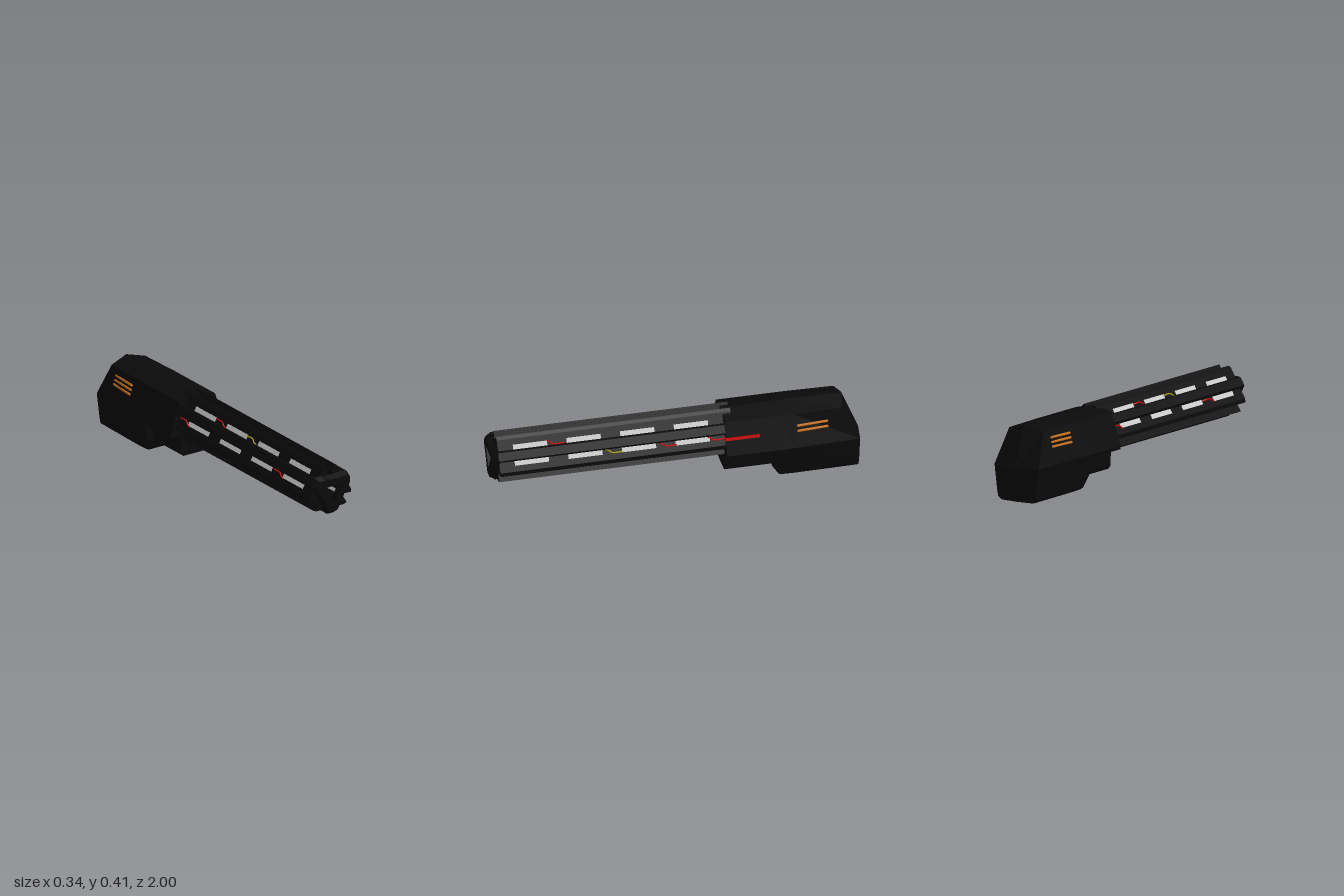
import * as THREE from 'three';

const mat = (color) => new THREE.MeshStandardMaterial({ color, flatShading: true });
const BLACK = mat(0x0a0a0a), LIGHT = mat(0xdddddd), RED = mat(0xcc0808), YELLOW = mat(0xaaa010), ORANGE = mat(0xc8701a);

function add(parent, name, geo, material, x = 0, y = 0, z = 0) {
  const m = new THREE.Mesh(geo, material);
  m.name = name;
  m.position.set(x, y, z);
  parent.add(m);
  return m;
}

// Faceted solid from rings of [x, y, z] corners running front to back, capped with fans.
function loft(rings, frontTip, backTip) {
  const pos = [];
  const tri = (a, b, c) => pos.push(...a, ...b, ...c);
  const n = rings[0].length;
  const last = rings[rings.length - 1];
  for (let j = 0; j < n; j++) {
    const k = (j + 1) % n;
    for (let i = 0; i < rings.length - 1; i++) {
      const a = rings[i], b = rings[i + 1];
      tri(a[j], a[k], b[k]);
      tri(a[j], b[k], b[j]);
    }
    tri(frontTip, rings[0][k], rings[0][j]);
    tri(backTip, last[j], last[k]);
  }
  const g = new THREE.BufferGeometry();
  g.setAttribute('position', new THREE.Float32BufferAttribute(pos, 3));
  g.computeVertexNormals();
  return g;
}

// Full ring from a right half: first and last corners lie on the centre line.
function ring(half, z) {
  const right = half.map(([x, y, dz = 0]) => [x, y, z + dz]);
  const left = right.slice(1, -1).reverse().map(([x, y, w]) => [-x, y, w]);
  return [...right, ...left];
}

const poly = (pts) => new THREE.Shape(pts.map(([x, y]) => new THREE.Vector2(x, y)));
const extrude = (pts, z0, z1) => {
  const g = new THREE.ExtrudeGeometry(poly(pts), { depth: z1 - z0, bevelEnabled: false });
  return g.translate(0, 0, z0);
};
// Closed outline mirrored across the panel's own centre line (n outward, t sideways).
const mirrorT = (pts) => [...pts.map(([n, t]) => [n, -t]), ...pts.slice().reverse()];

const AXIS_Y = 0.272, SEGMENTS = [0.79, 0.5, 0.21, -0.08];

// One of the three barrel panels; local x points outward, local y across it.
function panel(name, angle) {
  const g = new THREE.Group();
  g.name = name;
  g.rotation.z = angle;
  g.position.y = AXIS_Y;
  const section = mirrorT([[0.056, 0.05], [0.06, 0.085], [0.096, 0.107], [0.104, 0.088], [0.104, 0.02]]);
  add(g, 'barrelPanel', extrude(section, -0.3, 0.965), BLACK);
  add(g, 'outerRail', extrude(mirrorT([[0.11, 0.03], [0.122, 0.03], [0.132, 0.022]]), -0.3, 0.97), BLACK);
  for (const z of SEGMENTS) {
    for (const t of [-0.043, 0.043]) add(g, 'outerLight', new THREE.BoxGeometry(0.004, 0.026, 0.185), LIGHT, 0.105, t, z);
    add(g, 'innerLight', new THREE.BoxGeometry(0.007, 0.024, 0.185), LIGHT, 0.054, 0, z);
  }
  return g;
}

// Short kinked wire lying on a panel between two lights.
function wire(parent, material, t, z) {
  const path = new THREE.CatmullRomCurve3([
    [0.1, t + 0.016, z + 0.055], [0.109, t + 0.008, z + 0.035], [0.109, t - 0.006, z + 0.015],
    [0.109, t - 0.006, z - 0.03], [0.1, t - 0.006, z - 0.05],
  ].map((p) => new THREE.Vector3(...p)));
  add(parent, 'wire', new THREE.TubeGeometry(path, 14, 0.004, 6), material);
}

// Three-lobed muzzle frame with a triangular opening, tapering towards the front.
function muzzle() {
  const lobes = (scale) => {
    const pts = [];
    for (let i = 0; i < 3; i++) {
      const a = -Math.PI / 2 + i * 2 * Math.PI / 3;
      for (const [n, t] of [[0.07, -0.06], [0.1, -0.048], [0.132, -0.026], [0.132, 0.026], [0.1, 0.048], [0.07, 0.06]]) {
        pts.push([scale * (n * Math.cos(a) - t * Math.sin(a)), scale * (n * Math.sin(a) + t * Math.cos(a))]);
      }
    }
    return pts;
  };
  const shape = poly(lobes(1));
  const hole = [];
  for (let i = 0; i < 3; i++) {
    const a = -Math.PI / 2 + i * 2 * Math.PI / 3;
    hole.push(new THREE.Vector2(0.066 * Math.cos(a), 0.066 * Math.sin(a)));
  }
  shape.holes.push(new THREE.Path(hole));
  const g = new THREE.ExtrudeGeometry(shape, { depth: 0.035, bevelEnabled: false });
  const p = g.attributes.position;
  for (let i = 0; i < p.count; i++) {
    const r = Math.hypot(p.getX(i), p.getY(i));
    if (p.getZ(i) > 0.01 && r > 0.07) {
      p.setX(i, p.getX(i) * 0.83);
      p.setY(i, p.getY(i) * 0.83);
    }
  }
  g.computeVertexNormals();
  return g;
}

export function createModel() {
  const model = new THREE.Group();

  // Barrel: three panels around an open core
  const deg = Math.PI / 180;
  const left = panel('leftPanel', 30 * deg);
  const right = panel('rightPanel', 150 * deg);
  const lower = panel('lowerPanel', -90 * deg);
  model.add(left, right, lower);
  add(model, 'muzzleFrame', muzzle(), BLACK, 0, AXIS_Y, 0.965);

  // Wires between the lights
  wire(left, RED, 0.04, 0.65);
  wire(left, YELLOW, -0.045, 0.34);
  wire(left, RED, -0.045, 0.05);
  wire(left, RED, -0.045, -0.21);
  wire(right, YELLOW, -0.043, 0.34);
  wire(right, RED, -0.043, 0.06);
  wire(right, RED, 0.043, 0.65);
  wire(right, RED, 0.043, -0.21);
  wire(lower, RED, 0.043, 0.65);
  wire(lower, YELLOW, 0.043, 0.34);
  wire(lower, RED, 0.043, 0.06);

  // Front shell of the body, with a narrower block beneath it
  const shell = [[0, 0.403], [0.113, 0.378], [0.172, 0.2], [0.168, 0.182], [0, 0.182]];
  add(model, 'frontShell', loft([ring(shell, -0.255), ring(shell, -0.53)], [0, 0.28, -0.255], [0, 0.28, -0.53]), BLACK);
  const block = [[0, 0.2], [0.11, 0.2], [0.105, 0.085], [0.09, 0.068], [0, 0.068]];
  add(model, 'lowerBlock', loft([ring(block, -0.255), ring(block, -0.56)], [0, 0.13, -0.255], [0, 0.13, -0.56]), BLACK);
  add(model, 'lowerBlockRib', new THREE.BoxGeometry(0.09, 0.09, 0.02), BLACK, 0, 0.118, -0.262);

  // Rear body: chamfered at the front, tapering to a faceted back
  const rear = [
    ring([[0, 0.403], [0.113, 0.378], [0.172, 0.2], [0.147, 0.095], [0.142, 0.08], [0.12, 0.07], [0, 0.07]], -0.51),
    ring([[0, 0.404], [0.113, 0.378], [0.172, 0.2], [0.136, 0.05], [0.13, 0.02], [0.11, 0.008], [0, 0.008]], -0.548),
    ring([[0, 0.404], [0.113, 0.378], [0.17, 0.2], [0.136, 0.05], [0.13, 0.018], [0.11, 0.006], [0, 0.006]], -0.62),
    ring([[0, 0.404, -0.02], [0.108, 0.376], [0.141, 0.19, -0.09], [0.125, 0.05, -0.088],
      [0.12, 0.016, -0.085], [0.1, 0.001, -0.08], [0, 0, -0.085]], -0.89),
  ];
  add(model, 'rearBody', loft(rear, [0, 0.22, -0.51], [0, 0.18, -1]), BLACK);

  // Red bar on the left side
  const bar = add(model, 'redBar', new THREE.BoxGeometry(0.034, 0.013, 0.185), RED, 0.138, 0.29, -0.342);
  bar.rotation.z = 0.26;

  // Orange side bars: two on the left, three on the right
  const sideBar = (x, y, z) => {
    const g = new THREE.CapsuleGeometry(0.007, 0.16, 3, 8).rotateX(Math.PI / 2);
    const m = add(model, 'orangeBar', g, ORANGE, x, y, z);
    m.rotation.y = Math.sign(x) * 0.075;
  };
  [0.316, 0.288].forEach((y) => sideBar(0.129 + (0.316 - y) * 0.27, y, -0.725));
  [0.336, 0.312, 0.288].forEach((y) => sideBar(-0.129 - (0.316 - y) * 0.27, y, -0.755));

  return model;
}
